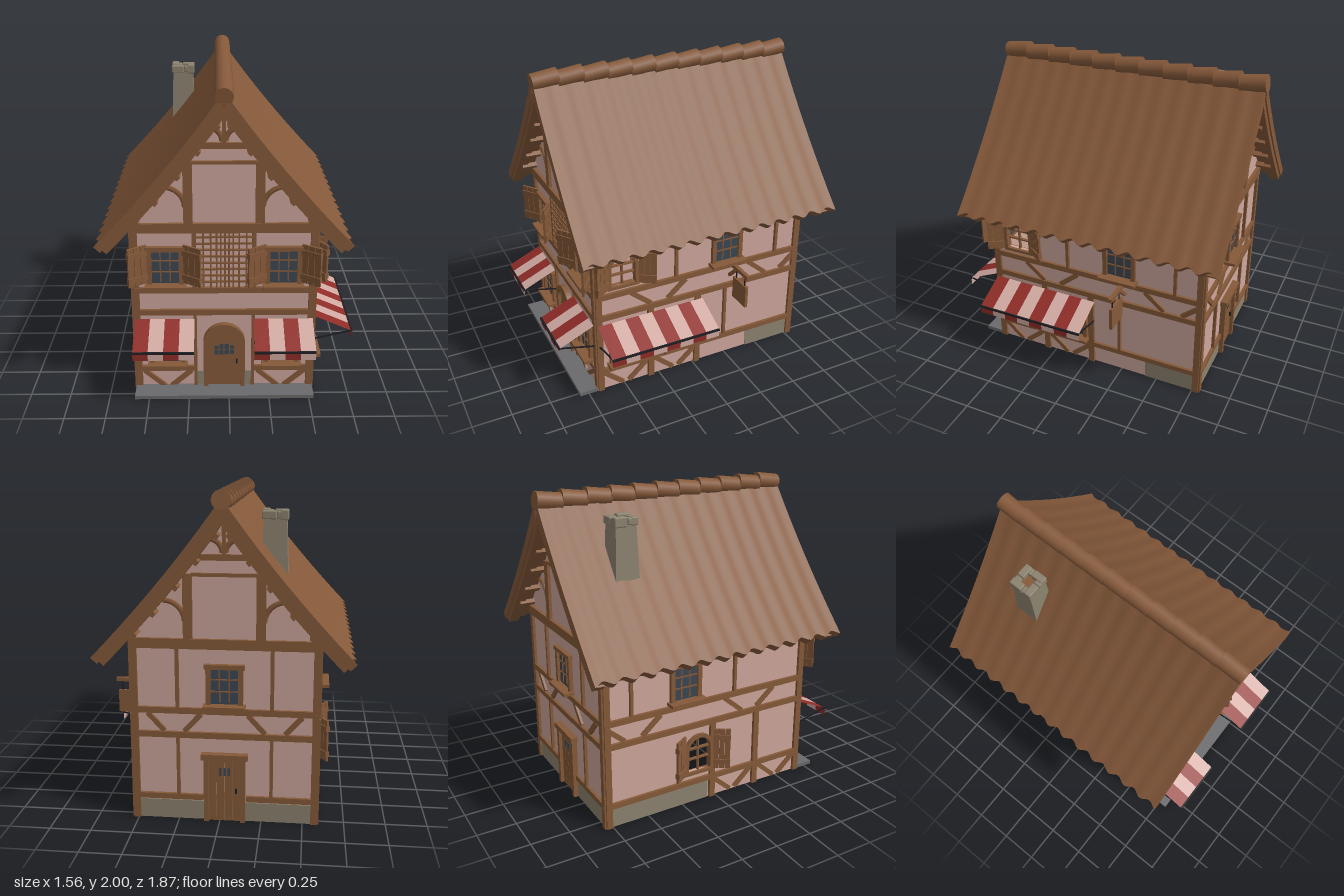
import * as THREE from 'three';
import { toCreasedNormals } from 'three/addons/utils/BufferGeometryUtils.js';
import { RoundedBoxGeometry } from 'three/addons/geometries/RoundedBoxGeometry.js';

const mat = (name, color) => Object.assign(new THREE.MeshStandardMaterial({ color }), { name });
const M = {
  wood: mat('timber', 0x855939), roof: mat('roof tiles', 0x85593a), wall: mat('plaster', 0xcda69c),
  stone: mat('stone', 0x8c826f), glass: mat('window glass', 0x3b4754), red: mat('awning red', 0x8f2c27),
  pale: mat('awning pale', 0xd0a9a1), black: mat('iron', 0x1d1d22), slab: mat('paving', 0x6a6a6c),
};
M.red.side = M.pale.side = THREE.DoubleSide;
const CX = -0.03, CZ = -0.055; // centre of the house body

function add(parent, name, geo, material, x = 0, y = 0, z = 0) {
  const m = new THREE.Mesh(geo, material);
  m.name = name;
  m.position.set(x, y, z);
  parent.add(m);
  return m;
}
function group(parent, name, x = 0, y = 0, z = 0) {
  const g = new THREE.Group();
  g.name = name;
  g.position.set(x, y, z);
  parent.add(g);
  return g;
}
const box = (p, name, m, w, h, d, x, y, z) => add(p, name, new THREE.BoxGeometry(w, h, d), m, x, y, z);

// Timber between two points of a wall face
function beam(p, name, x1, y1, x2, y2, w = 0.035, d = 0.03, z = 0.004, m = M.wood) {
  const b = box(p, name, m, Math.hypot(x2 - x1, y2 - y1), w, d, (x1 + x2) / 2, (y1 + y2) / 2, z);
  b.rotation.z = Math.atan2(y2 - y1, x2 - x1);
  return b;
}
function vBrace(p, x, half, yLow, yHigh, gap = 0.02) {
  for (const s of [-1, 1]) beam(p, 'diagonalBrace', x + s * half, yHigh, x + s * gap, yLow, 0.03, 0.024);
}

// Arch outline with a round top
function arch(Type, w, y0, y1) {
  const s = new Type(), r = w / 2;
  s.moveTo(-r, y0);
  s.lineTo(r, y0);
  s.lineTo(r, y1 - r);
  s.absarc(0, y1 - r, r, 0, Math.PI, false);
  s.lineTo(-r, y0);
  return s;
}
const extrude = (s, depth) => new THREE.ExtrudeGeometry(s, { depth, bevelEnabled: false, curveSegments: 10 });

function wall(p, points, hole) {
  const s = new THREE.Shape(points.map(([x, y]) => new THREE.Vector2(x, y)));
  if (hole) {
    const h = arch(THREE.Shape, hole.w, hole.y0, hole.y1).getPoints(10);
    s.holes.push(new THREE.Path(h.map(v => v.clone().setX(v.x + hole.x))));
  }
  add(p, 'plasterWall', extrude(s, 0.02), M.wall, 0, 0, -0.02);
}

// Hinged shutters standing open at both sides
function shutters(p, half, y0, h, w, angle) {
  for (const s of [-1, 1]) {
    const g = group(p, 'shutter', s * half, y0, 0.015);
    g.rotation.y = -s * angle;
    for (let i = 0; i < 3; i++) box(g, 'shutterBoard', M.wood, w / 3 - 0.003, h, 0.014, s * w * (i + 0.5) / 3, h / 2, 0);
    for (const f of [0.17, 0.8]) box(g, 'shutterBatten', M.wood, w, 0.035, 0.028, s * w / 2, h * f, 0);
  }
}

function windowUnit(p, x, y0, h = 0.26, open = false) {
  const g = group(p, 'window', x, y0, 0), w = 0.22, t = 0.028;
  box(g, 'glass', M.glass, w - t, h - t, 0.028, 0, h / 2, -0.008);
  for (const s of [-1, 1]) beam(g, 'windowJamb', s * (w - t) / 2, 0, s * (w - t) / 2, h, t, 0.05, 0);
  beam(g, 'windowHead', -w / 2 - 0.01, h - t / 2, w / 2 + 0.01, h - t / 2, t, 0.06, 0);
  beam(g, 'windowSill', -w / 2 - 0.015, 0.006, w / 2 + 0.015, 0.006, 0.02, 0.095, 0.024);
  for (const k of [-1, 1]) {
    beam(g, 'muntin', k * 0.029, t, k * 0.029, h - t, 0.008, 0.036, -0.006);
    beam(g, 'muntin', -w / 2 + t, h * (0.5 + k * 0.14), w / 2 - t, h * (0.5 + k * 0.14), 0.008, 0.036, -0.006);
  }
  if (open) shutters(g, w / 2, 0.025, 0.25, 0.13, 0.6);
}

// Unglazed arched window, matching the hole in its wall
function archWindow(p, { x, w, y0, y1 }, angle) {
  const g = group(p, 'archedWindow', x, 0, 0);
  const s = arch(THREE.Shape, w + 0.04, y0 - 0.02, y1 + 0.02);
  s.holes.push(arch(THREE.Path, w - 0.01, y0, y1 - 0.005));
  add(g, 'archedFrame', extrude(s, 0.045), M.wood, 0, 0, -0.025);
  beam(g, 'muntin', 0, y0, 0, y1, 0.01, 0.02, -0.01);
  for (const f of [0.35, 0.65]) beam(g, 'muntin', -w / 2, y0 + (y1 - y0) * f, w / 2, y0 + (y1 - y0) * f, 0.01, 0.02, -0.01);
  shutters(g, w / 2 + 0.02, y0 - 0.01, y1 - y0 + 0.04, 0.11, angle);
}

// Striped sloping cloth with a hanging edge, front bar and struts
function awning(p, x0, n) {
  const g = group(p, 'awning'), w = 0.092, rows = [[0.505, 0.02], [0.405, 0.245], [0.35, 0.245]];
  for (let i = 0; i < n; i++) {
    const geo = new THREE.PlaneGeometry(w, 1, 1, 2), a = geo.attributes.position;
    for (let k = 0; k < a.count; k++) a.setXYZ(k, a.getX(k), ...rows[k >> 1]);
    add(g, 'awningStripe', toCreasedNormals(geo, 0.3), i % 2 ? M.pale : M.red, x0 + (i + 0.5) * w);
  }
  box(g, 'awningBar', M.black, n * w, 0.012, 0.012, x0 + n * w / 2, 0.402, 0.248);
  for (const x of [x0 + 0.01, x0 + n * w - 0.01]) {
    const strut = box(g, 'awningStrut', M.black, 0.008, 0.008, 0.235, x, 0.372, 0.13);
    strut.rotation.x = -0.24;
  }
}

// Roof slope profile, measured outwards from the ridge
const slope = new THREE.QuadraticBezierCurve(
  new THREE.Vector2(0, 1.95), new THREE.Vector2(0.3175, 1.5), new THREE.Vector2(0.745, 1.055));
function slopePoint(t, offset) {
  const q = slope.getPoint(t), d = slope.getTangent(t);
  return [Math.max(0, q.x - d.y * offset), q.y + d.x * offset, d];
}
// Curved slab following the slope; wave gives the scalloped eave
function slopeSlab(p, name, m, s, z, length, top, bottom, wave) {
  const geo = new THREE.BoxGeometry(1, 1, length, 10, 1, wave ? 120 : 1), a = geo.attributes.position;
  for (let i = 0; i < a.count; i++) {
    const t = 0.5 + s * a.getX(i), up = a.getY(i) > 0;
    const c = wave * Math.cos(a.getZ(i) * Math.PI * 2 / 0.125);
    const [x, y, d] = slopePoint(t, up ? top + c * 0.15 : bottom);
    const e = t > 0.99 ? c : 0;
    a.setXYZ(i, CX + s * (x + d.x * e), y + d.y * e, a.getZ(i));
  }
  add(p, name, toCreasedNormals(geo, 0.6), m, 0, 0, z);
}

// Timbers shared by all four faces
function commonTimbers(p, c, half) {
  for (const s of [-1, 1]) beam(p, 'cornerPost', c + s * (half - 0.012), 0, c + s * (half - 0.012), 1.14, 0.04, 0.045, -0.004);
  for (const y of [0.7, 0.548]) beam(p, 'railBeam', c - half, y, c + half, y, 0.037);
}

function gable(p, c, hw = 0.55) {
  wall(p, [[c - hw, 0], [c + hw, 0], [c + hw, 1.17], [c + 0.345, 1.4], [c, 1.85], [c - 0.345, 1.4], [c - hw, 1.17]]);
  commonTimbers(p, c, hw);
  beam(p, 'tieBeam', c - hw - 0.01, 1.11, c + hw + 0.01, 1.11, 0.06, 0.036);
  beam(p, 'collarBeam', c - 0.19, 1.515, c + 0.19, 1.515, 0.02);
  beam(p, 'upperCollar', c - 0.145, 1.615, c + 0.145, 1.615, 0.035);
  beam(p, 'kingPost', c, 1.62, c, 1.82, 0.022);
  for (const s of [-1, 1]) {
    beam(p, 'gablePost', c + s * 0.212, 1.12, c + s * 0.212, 1.52, 0.055);
    const arc = (x, y, r) => {
      const t = add(p, 'curvedBrace', new THREE.TorusGeometry(r, 0.016, 4, 8, Math.PI / 2), M.wood, c + s * x, y, 0.006);
      t.rotation.y = s > 0 ? Math.PI : 0;
    };
    arc(0.355, 1.24, 0.125);
    arc(0.09, 1.64, 0.08);
    for (const t of [0.17, 0.33, 0.49, 0.66, 0.8]) {
      const [x, y, d] = slopePoint(t, -0.09);
      const b = box(p, 'purlinEnd', M.wood, 0.03, 0.03, 0.1, c + s * x, y, 0.05);
      b.rotation.z = s * Math.atan2(d.y, d.x);
    }
  }
}

function front(house) {
  const p = group(house, 'frontFace', 0, 0, 0.675);
  gable(p, CX);
  for (const x of [-0.385, 0.33]) {
    windowUnit(p, x, 0.73, 0.26, true);
    windowUnit(p, x, 0.18);
    vBrace(p, x, 0.15, 0.015, 0.13);
    beam(p, 'lowerRail', x - 0.17, 0.148, x + 0.17, 0.148);
  }
  for (const x of [-0.21, 0.15]) {
    beam(p, 'doorSidePost', x, 0, x, 0.55, 0.02);
    beam(p, 'upperPost', x, 0.7, x, 1.1, 0.025);
  }
  awning(p, -0.58, 4);
  awning(p, 0.15, 4);
  box(p, 'stoneBase', M.stone, 0.35, 0.12, 0.008, CX, 0.06, 0.002);
  // Lattice between the upper windows
  for (const x of [-0.155, -0.11, -0.075, -0.05, -0.025, 0, 0.025, 0.06, 0.105]) beam(p, 'latticeUpright', x, 0.72, x, 1.08, 0.01, 0.014, 0.012);
  for (let i = 0; i < 8; i++) beam(p, 'latticeRail', -0.2, 0.76 + i * 0.042, 0.14, 0.76 + i * 0.042, 0.01, 0.014, 0.016);
  // Arched door
  const door = group(p, 'frontDoor', CX, 0, 0), s = arch(THREE.Shape, 0.26, 0, 0.47);
  s.holes.push(arch(THREE.Path, 0.205, 0.005, 0.435));
  add(door, 'doorArch', extrude(s, 0.06), M.wood, 0, 0, -0.025);
  add(door, 'doorLeaf', extrude(arch(THREE.Shape, 0.21, 0, 0.44), 0.035), M.wood, 0, 0, -0.023);
  for (let i = 0; i < 4; i++) for (const y of [0.265, 0.305]) {
    const h = y > 0.3 && (i === 0 || i === 3) ? 0.022 : 0.034;
    box(door, 'doorPane', M.glass, 0.026, h, 0.006, (i - 1.5) * 0.032, y - (0.034 - h) / 2, 0.013);
  }
  box(door, 'doorHandle', M.black, 0.01, 0.03, 0.012, 0.08, 0.2, 0.016);
}

function back(house) {
  const p = group(house, 'backFace', 0, 0, -0.785), c = -CX;
  p.rotation.y = Math.PI;
  gable(p, c);
  windowUnit(p, c, 0.73);
  box(p, 'stoneBase', M.stone, 1.04, 0.12, 0.008, c, 0.06, 0.002);
  for (const s of [-1, 1]) {
    beam(p, 'lowerRail', c + s * 0.54, 0.148, c + s * 0.13, 0.148);
    beam(p, 'upperPost', c + s * 0.28, 0.7, c + s * 0.28, 1.1, 0.022);
    beam(p, 'lowerPost', c + s * 0.28, 0.15, c + s * 0.28, 0.54, 0.02);
    vBrace(p, c + s * 0.3, 0.16, 0.57, 0.68, 0.06);
    beam(p, 'doorJamb', c + s * 0.11, 0, c + s * 0.11, 0.41, 0.03, 0.06, 0.005);
  }
  beam(p, 'doorHead', c - 0.14, 0.42, c + 0.14, 0.42, 0.035, 0.07, 0.01);
  for (let i = 0; i < 4; i++) box(p, 'doorPlank', M.wood, 0.047, 0.4, 0.035, c + (i - 1.5) * 0.049, 0.2, -0.005);
  for (let i = 0; i < 3; i++) box(p, 'doorPane', M.glass, 0.014, 0.05, 0.006, c + (i - 1) * 0.025, 0.32, 0.014);
  box(p, 'doorHandle', M.black, 0.01, 0.03, 0.012, c + 0.07, 0.2, 0.018);
}

// Long face; s = 1 is the +x side, s = -1 the -x side
function side(house, s) {
  const p = group(house, s > 0 ? 'leftFace' : 'rightFace', s > 0 ? 0.52 : -0.58, 0, 0), U = z => -s * z;
  p.rotation.y = s * Math.PI / 2;
  const hole = s > 0 ? { x: U(0.495), w: 0.17, y0: 0.76, y1: 0.965 } : { x: U(-0.13), w: 0.17, y0: 0.22, y1: 0.46 };
  const c = U(CZ), hw = 0.73;
  wall(p, [[c - hw, 0], [c + hw, 0], [c + hw, 1.15], [c - hw, 1.15]], hole);
  commonTimbers(p, c, hw);
  beam(p, 'lowerRail', c - hw, 0.148, c + hw, 0.148);
  archWindow(p, hole, 0.55);
  windowUnit(p, U(-0.235), 0.73);
  for (const z of [0.13, -0.61]) beam(p, 'upperPost', U(z), 0.7, U(z), 1.14, 0.02);
  for (const z of [0.25, -0.6]) vBrace(p, U(z), 0.19, 0.57, 0.68, 0.06);
  for (const z of [0.49, 0.13]) vBrace(p, U(z), 0.15, 0.015, 0.13);
  beam(p, 'lowerPost', U(0.31), 0, U(0.31), 0.54, 0.04);
  beam(p, 'lowerPost', U(-0.03), 0, U(-0.03), 0.54, 0.04);
  const end = s > 0 ? -0.42 : -0.06;
  box(p, 'stoneBase', M.stone, end + 0.76, 0.125, 0.008, U((end - 0.76) / 2), 0.0625, 0.002);
  if (s < 0) return;
  beam(p, 'lowerPost', U(-0.235), 0.15, U(-0.235), 0.54, 0.02);
  for (const z of [0.49, 0.11]) windowUnit(p, U(z), 0.18);
  awning(p, U(0.675), 8);
  // Hanging board on a bracket
  const g = group(p, 'hangingSign', U(-0.27), 0, 0);
  box(g, 'signArm', M.wood, 0.025, 0.025, 0.23, 0, 0.715, 0.115);
  box(g, 'signBrace', M.wood, 0.02, 0.02, 0.12, 0, 0.66, 0.045).rotation.x = -0.8;
  box(g, 'signBoard', M.wood, 0.02, 0.15, 0.155, 0, 0.565, 0.14);
  for (const z of [0.09, 0.19]) box(g, 'signChain', M.black, 0.006, 0.07, 0.006, 0, 0.67, z);
}

function roof(house) {
  const g = group(house, 'roof');
  for (const s of [-1, 1]) {
    slopeSlab(g, 'roofSlope', M.roof, s, CZ, 1.74, 0, -0.05, 0.015);
    for (const z of [0.77, -0.88]) slopeSlab(g, 'bargeBoard', M.wood, s, z, 0.07, -0.045, -0.085, 0);
  }
  for (let i = 0; i < 11; i++) {
    const cap = add(g, 'ridgeTile', new THREE.CylinderGeometry(0.053, 0.056, 0.165, 12), M.roof, CX, 1.934, 0.737 - i * 0.1585);
    cap.rotation.x = Math.PI / 2 + 0.12;
  }
}

function chimney(house) {
  const g = group(house, 'chimney', -0.305, 0, -0.51);
  const stack = add(g, 'chimneyStack', new THREE.CylinderGeometry(0.095, 0.12, 0.5, 4, 1).toNonIndexed(), M.stone, 0, 1.57, 0);
  stack.geometry.rotateY(Math.PI / 4);
  stack.geometry.computeVertexNormals();
  box(g, 'flueOpening', M.wood, 0.08, 0.006, 0.08, 0, 1.823, 0);
  for (let i = 0; i < 4; i++) {
    const q = group(g, 'capStones', 0, 1.835, 0);
    q.rotation.y = i * Math.PI / 2;
    add(q, 'capStone', new RoundedBoxGeometry(0.085, 0.05 + (i % 2) * 0.01, 0.047, 1, 0.008), M.stone, -0.035, 0, 0.055);
    add(q, 'capStone', new RoundedBoxGeometry(0.042, 0.042, 0.044, 1, 0.008), M.stone, 0.03, 0, 0.055);
  }
}

export function createModel() {
  const house = new THREE.Group();
  house.name = 'timberFramedHouse';
  front(house);
  back(house);
  side(house, 1);
  side(house, -1);
  roof(house);
  chimney(house);
  box(house, 'frontStep', M.slab, 1.12, 0.024, 0.13, CX, 0.012, 0.745);
  return house;
}
